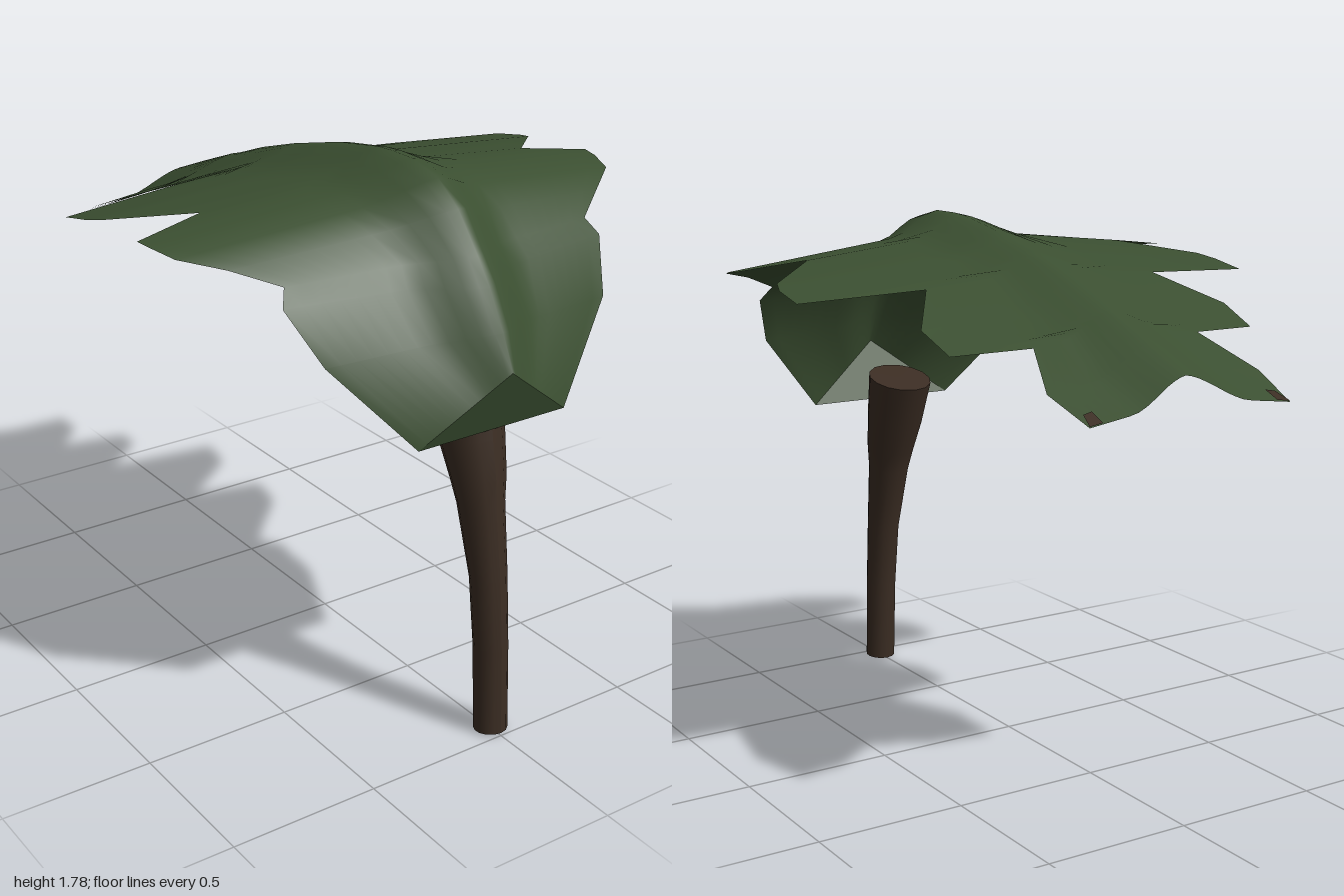
import * as THREE from 'three';

const leafGreen = new THREE.MeshStandardMaterial({ color: 0x3b4f31, side: THREE.DoubleSide });
leafGreen.name = 'leaf green';
const barkBrown = new THREE.MeshStandardMaterial({ color: 0x3b2d23, side: THREE.DoubleSide });
barkBrown.name = 'bark brown';

// Leaf stations, front to back: midrib z, y, then edge x, z, y
const ROWS = [
  [0.98, 1.25, 0.28, 0.90, 1.04],
  [0.93, 1.36, 0.53, 0.78, 1.32],
  [0.86, 1.48, 0.60, 0.67, 1.48],
  [0.80, 1.56, 0.57, 0.63, 1.53],
  [0.70, 1.68, 0.70, 0.54, 1.58],
  [0.60, 1.75, 0.82, 0.45, 1.61],
  [0.47, 1.78, 0.85, 0.36, 1.625],
  [0.36, 1.78, 0.86, 0.30, 1.63],
  [0.29, 1.775, 0.62, 0.25, 1.66],
  [0.08, 1.74, 0.83, 0.04, 1.62],
  [0.00, 1.72, 0.855, -0.03, 1.605],
  [-0.12, 1.69, 0.86, -0.16, 1.58],
  [-0.18, 1.675, 0.44, -0.21, 1.60],
  [-0.38, 1.615, 0.58, -0.42, 1.51],
  [-0.53, 1.56, 0.57, -0.57, 1.45],
  [-0.58, 1.545, 0.31, -0.62, 1.46],
  [-0.78, 1.47, 0.395, -0.82, 1.36],
  [-0.96, 1.40, 0.37, -1.00, 1.29],
];
const LAST = ROWS.length - 1;

// Droop away from the midrib: a rounded rib, then a gentle slope
const droop = (x) => 0.06 * THREE.MathUtils.smoothstep(x, 0, 0.22) + 0.116 * x;

// Point on the leaf; u runs from -1 to 1 across it
function rowPoint(i, u) {
  const [rz, ry, ex, ez, ey] = ROWS[i];
  const a = Math.abs(u);
  const g = i === 0 ? a : droop(a * ex) / droop(ex);
  return new THREE.Vector3(u * ex, ry + (ey - ry) * g, rz + (ez - rz) * g);
}

function meshFrom(name, points, index, material) {
  const geometry = new THREE.BufferGeometry().setFromPoints(points);
  geometry.setIndex(index);
  geometry.computeVertexNormals();
  const mesh = new THREE.Mesh(geometry, material);
  mesh.name = name;
  return mesh;
}

// Lobed blade
function makeBlade() {
  const n = 24, points = [], index = [];
  for (let i = 0; i <= LAST; i++) {
    for (let j = 0; j <= n; j++) {
      const s = (j / n) * 2 - 1;
      points.push(rowPoint(i, Math.sign(s) * Math.abs(s) ** 1.2));
    }
  }
  for (let i = 0; i < LAST; i++) {
    for (let j = 0; j < n; j++) {
      const a = i * (n + 1) + j, b = a + n + 1;
      index.push(a, a + 1, b, a + 1, b + 1, b);
    }
  }
  return meshFrom('leafBlade', points, index, leafGreen);
}

// Small withered patch on a rear corner
function makeTip(side) {
  const at = (t, u) => rowPoint(LAST, u * side).lerp(rowPoint(LAST - 1, u * side), t)
    .add(new THREE.Vector3(0, 0.004, 0));
  const points = [at(0, 1), at(0, 0.87), at(0.32, 0.85), at(0.3, 0.94)];
  const index = side > 0 ? [0, 1, 2, 0, 2, 3] : [0, 2, 1, 0, 3, 2];
  return meshFrom(side > 0 ? 'leftLeafTip' : 'rightLeafTip', points, index, barkBrown);
}

// Stem that leans back and flares at its tilted top: y, z, radius, tilt
function makeStem() {
  const rings = [
    [0.005, 0.945, 0.055, 0.09],
    [0.30, 0.93, 0.056, 0.1],
    [0.54, 0.905, 0.06, 0.12],
    [0.78, 0.855, 0.075, 0.16],
    [0.86, 0.838, 0.087, 0.2],
    [0.98, 0.80, 0.102, 0.24],
    [1.14, 0.755, 0.115, 0.27],
  ];
  const steps = rings.length - 1;
  const geometry = new THREE.CylinderGeometry(1, 1, steps, 14, steps);
  const p = geometry.attributes.position;
  for (let i = 0; i < p.count; i++) {
    const [y, z, r, tilt] = rings[Math.round(p.getY(i) + steps / 2)];
    const dz = p.getZ(i) * r;
    p.setXYZ(i, p.getX(i) * r, y + dz * tilt, z + dz);
  }
  geometry.computeVertexNormals();
  const mesh = new THREE.Mesh(geometry, barkBrown);
  mesh.name = 'stem';
  return mesh;
}

export function createModel() {
  const model = new THREE.Group();
  model.name = 'leafOnStem';
  // Flat triangle closing the front end of the blade
  const cap = meshFrom('leafFrontCap', [rowPoint(0, 0), rowPoint(0, -1), rowPoint(0, 1)], [0, 1, 2], leafGreen);
  model.add(makeBlade(), cap, makeTip(1), makeTip(-1), makeStem());
  return model;
}
